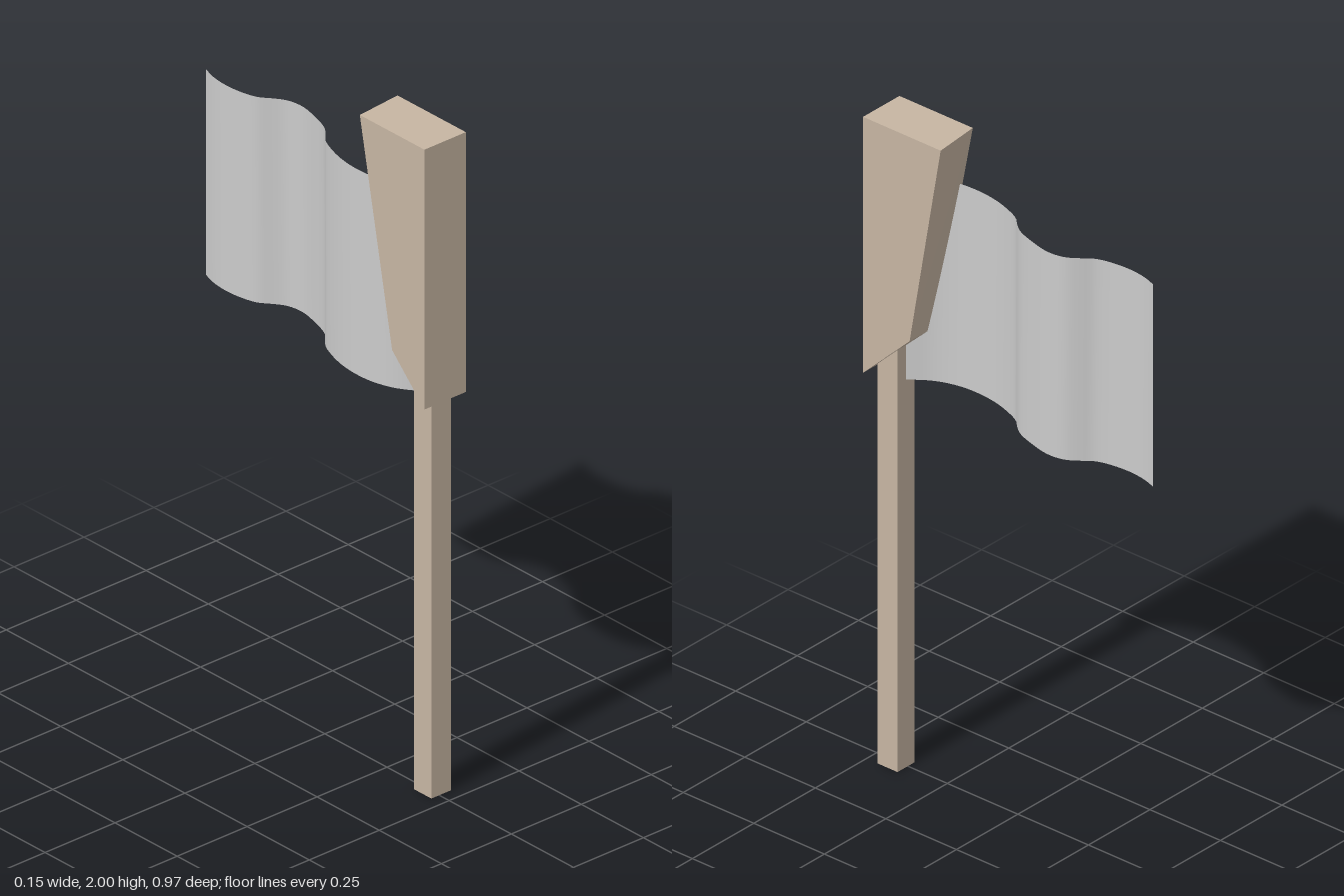
import * as THREE from 'three';

const wood = new THREE.MeshStandardMaterial({ color: 0xc6b5a2 });
const cloth = new THREE.MeshStandardMaterial({ color: 0xcccccc, side: THREE.DoubleSide });

function part(name, geometry, material) {
  const mesh = new THREE.Mesh(geometry, material);
  mesh.name = name;
  return mesh;
}

// Square post, running up into the head
function poleGeometry() {
  return new THREE.BoxGeometry(0.07, 1.4, 0.07).translate(0.007, 0.7, 0.425);
}

// Tapered block: side profile [z, y] extruded across x
function headGeometry() {
  const profile = [[0.485, 1.21], [0.32, 1.37], [0.21, 2], [0.485, 2]];
  const shape = new THREE.Shape(profile.map(([z, y]) => new THREE.Vector2(-z, y)));
  const geometry = new THREE.ExtrudeGeometry(shape, { depth: 0.148, bevelEnabled: false });
  geometry.rotateY(Math.PI / 2).translate(-0.075, 0, 0);

  // The back is skewed: its -x corners sit further forward
  const p = geometry.attributes.position;
  for (let i = 0; i < p.count; i++) {
    if (p.getX(i) > 0 || p.getZ(i) > 0.4) continue;
    if (p.getY(i) > 1.9) p.setZ(i, 0.225);
    else p.setXYZ(i, p.getX(i), 1.338, 0.355);
  }
  geometry.computeVertexNormals();
  return geometry;
}

// Waving sheet: a plane whose columns follow a wave [x, z]
function flagGeometry() {
  const wave = new THREE.CatmullRomCurve3([
    [0.007, 0.39], [-0.036, 0.328], [-0.058, 0.265], [-0.064, 0.2], [-0.057, 0.13],
    [-0.04, 0.07], [-0.02, 0.025], [0.003, 0], [0.025, -0.03], [0.046, -0.09],
    [0.06, -0.16], [0.052, -0.21], [0.028, -0.247], [0.006, -0.275],
    [-0.008, -0.32], [-0.014, -0.385], [-0.008, -0.44], [0.005, -0.483],
  ].map(([x, z]) => new THREE.Vector3(x, 0, z)));
  const geometry = new THREE.PlaneGeometry(1, 0.625, 64, 1);
  const p = geometry.attributes.position;
  for (let i = 0; i < p.count; i++) {
    const at = wave.getPointAt(THREE.MathUtils.clamp(p.getX(i) + 0.5, 0, 1));
    p.setXYZ(i, at.x, p.getY(i) + 1.5095, at.z);
  }
  geometry.computeVertexNormals();
  return geometry;
}

export function createModel() {
  const model = new THREE.Group();
  model.name = 'flagPost';
  model.add(
    part('pole', poleGeometry(), wood),
    part('head', headGeometry(), wood),
    part('flag', flagGeometry(), cloth),
  );
  return model;
}
